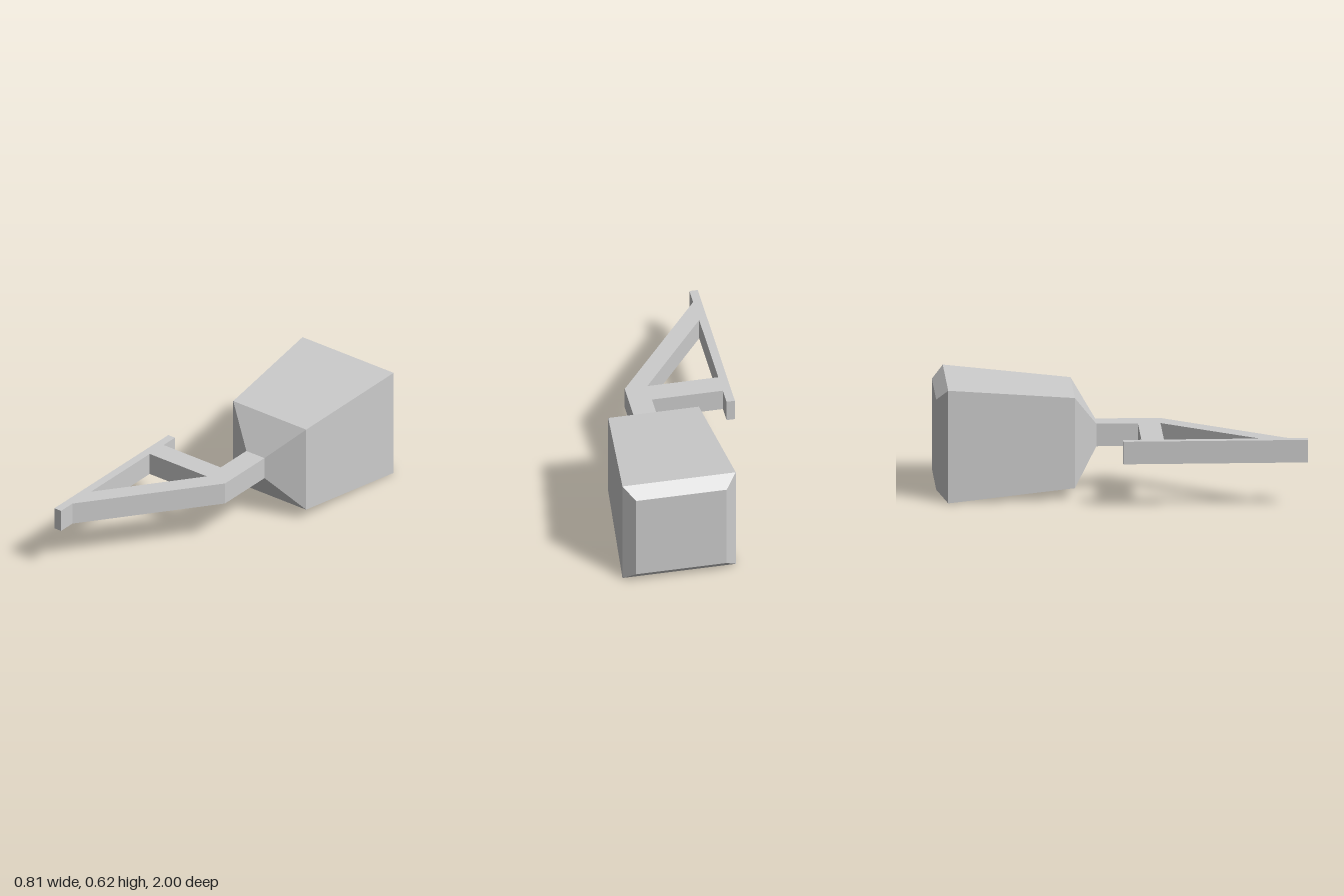
import * as THREE from 'three';

export function createModel() {
  const model = new THREE.Group();
  model.name = 'wallLamp';

  const grey = new THREE.MeshStandardMaterial({ color: 0xcccccc });
  grey.name = 'grey';

  const add = (name, geometry) => {
    const mesh = new THREE.Mesh(geometry, grey);
    mesh.name = name;
    model.add(mesh);
  };

  const armX = 0.094, armY = 0.3125, armHalf = 0.0625;
  const toPoints = (list) => list.map(([x, z]) => new THREE.Vector2(x, z));

  // Bracket: plan outline (x, z) of wall plate, cross arm, post and diagonal brace
  const outline = new THREE.Shape(toPoints([
    [-0.406, 0], [-0.36, 0], [-0.36, 0.1], [armX - armHalf, 0.1],
    [armX - armHalf, -0.125], [armX + armHalf, -0.125], [armX + armHalf, 0.222],
    [-0.36, 0.9], [-0.36, 1], [-0.406, 1],
  ]));
  // Triangular opening behind the brace
  outline.holes.push(new THREE.Path(toPoints([
    [-0.36, 0.222], [-0.36, 0.738], [armX - armHalf, 0.222],
  ])));
  const bracket = new THREE.ExtrudeGeometry(outline, { depth: 2 * armHalf, bevelEnabled: false });
  bracket.rotateX(Math.PI / 2).translate(0, armY + armHalf, 0);
  add('bracket', bracket);

  // Housing: square sections [half width, z] from the back face to the neck
  const sections = [[0, -1], [0.25, -1], [0.3125, -0.938], [0.25, -0.25], [armHalf, -0.125]];
  const profile = sections.map(([half, z]) => new THREE.Vector2(half * Math.SQRT2, z));
  const housing = new THREE.LatheGeometry(profile, 4, Math.PI / 4).toNonIndexed();
  housing.computeVertexNormals();
  housing.rotateX(Math.PI / 2).translate(armX, armY, 0);
  add('housing', housing);

  return model;
}
